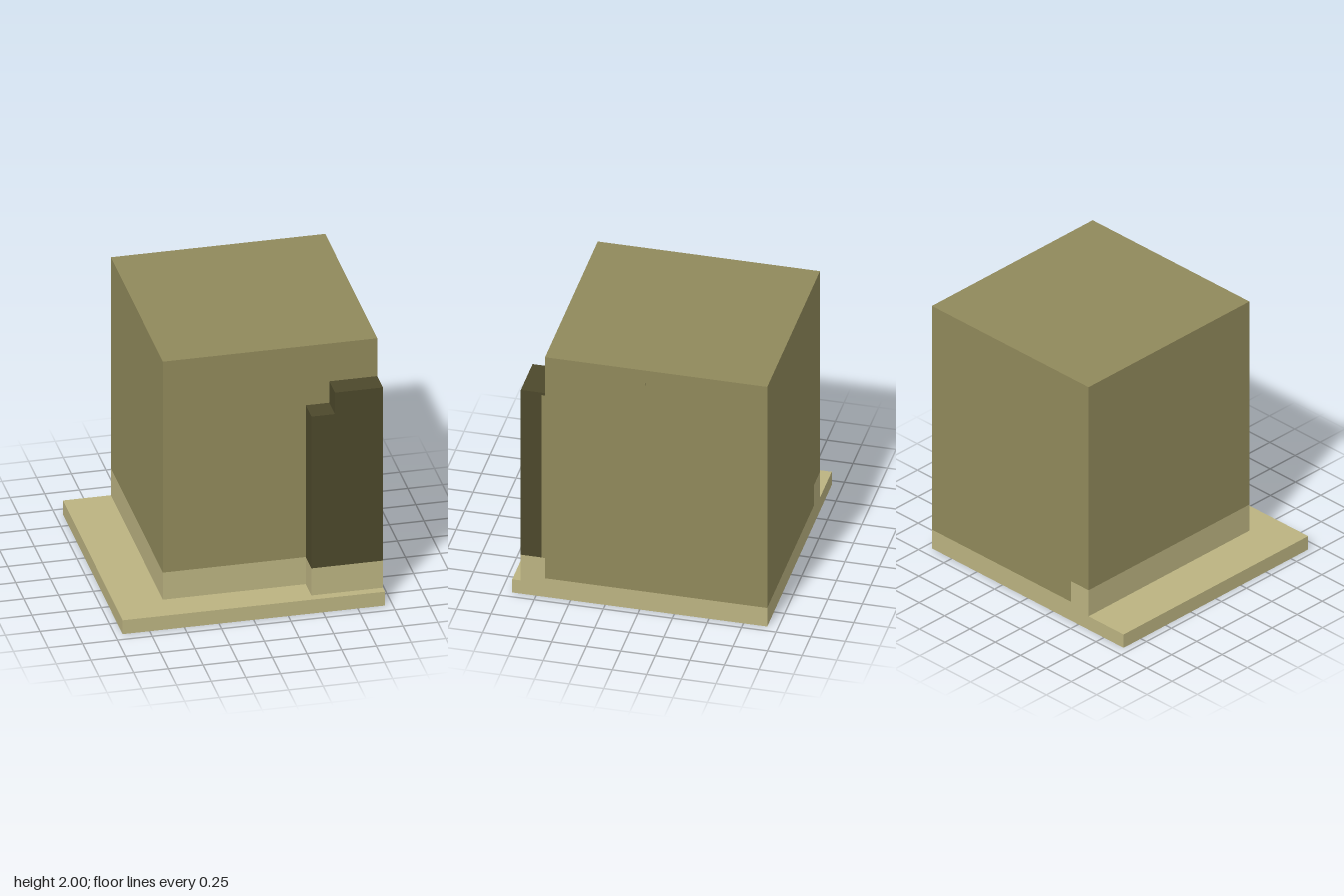
import * as THREE from 'three';

export function createModel() {
  const model = new THREE.Group();
  model.name = 'blockBuilding';

  const material = (name, color) => {
    const m = new THREE.MeshStandardMaterial({ color });
    m.name = name;
    return m;
  };
  const wall = material('olive wall', 0x90895b);
  const stone = material('pale stone', 0xbbb381);
  const dark = material('dark olive', 0x4c482b);

  // Box given by its lower and upper limits on each axis
  const block = (name, mat, [x0, x1], [y0, y1], [z0, z1], parent = model) => {
    const mesh = new THREE.Mesh(new THREE.BoxGeometry(x1 - x0, y1 - y0, z1 - z0), mat);
    mesh.position.set((x0 + x1) / 2, (y0 + y1) / 2, (z0 + z1) / 2);
    mesh.name = name;
    parent.add(mesh);
  };

  const L = -0.6, R = 0.945, BACK = -0.922, FRONT = 0.685;
  const SHELF = 0.11, SILL = 0.155, BAND = 0.325;

  // Base slab
  block('baseSlab', stone, [-R, R], [0, SHELF], [BACK, -BACK]);

  // Main body: pale foot, a band pale only on the shelf sides, plain walls above
  const body = new THREE.Group();
  body.name = 'body';
  model.add(body);
  const bandSides = [wall, stone, wall, stone, stone, wall]; // +x -x +y -y +z -z
  block('bodyFoot', stone, [L, R], [SHELF, SILL], [BACK, FRONT], body);
  block('bodyBandCorner', stone, [L, -0.425], [SILL, BAND], [BACK, FRONT], body);
  block('bodyBand', bandSides, [-0.425, R], [SILL, BAND], [BACK, FRONT], body);
  block('bodyWalls', wall, [L, R], [BAND, 2], [BACK, FRONT], body);

  // Small stud high on the side wall
  block('wallStud', wall, [R - 0.01, R + 0.002], [1.875, 1.895], [-0.04, -0.015], body);

  // Stepped pier at the front corner
  const pier = new THREE.Group();
  pier.name = 'steppedPier';
  model.add(pier);
  const depth = [FRONT, 0.86];
  block('pierFoot', stone, [0.43, R], [SHELF, BAND], depth, pier);
  block('pierLowStep', dark, [0.43, 0.6], [BAND, 1.53], depth, pier);
  block('pierHighStep', dark, [0.6, R], [BAND, 1.7], depth, pier);
  block('pierEdgeStrip', wall, [R - 0.004, R + 0.001], [BAND, 1.68], [FRONT, 0.71], pier);

  return model;
}
